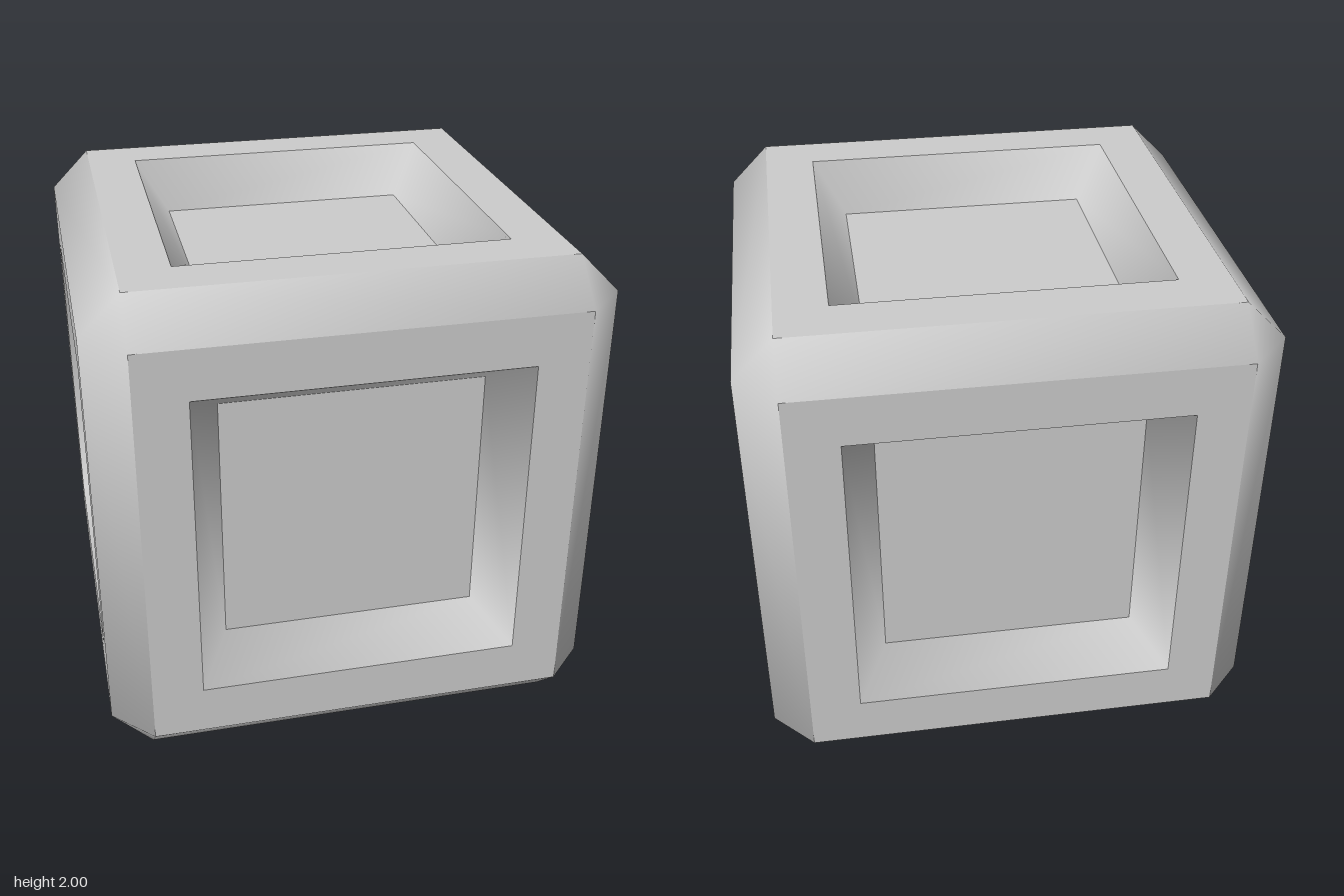
import * as THREE from 'three';

const HALF = 1;       // half size of the cube
const FLAT = 0.84;    // half size of each flat face
const OPEN = 0.64;    // half size of the recess opening
const FLOOR = 0.515;  // half size of the recess floor
const DEPTH = 0.2;    // recess depth

const material = new THREE.MeshStandardMaterial({ color: 0xcccccc });

function mesh(name, geometry) {
  const m = new THREE.Mesh(geometry, material);
  m.name = name;
  return m;
}

function build(positions, normals, index) {
  const g = new THREE.BufferGeometry();
  g.setAttribute('position', new THREE.Float32BufferAttribute(positions, 3));
  g.setAttribute('normal', new THREE.Float32BufferAttribute(normals, 3));
  if (index) g.setIndex(index);
  return g;
}

// Four corners of a square, counter-clockwise seen from +z
const CORNERS = [[-1, -1], [1, -1], [1, 1], [-1, 1]];
const square = (s) => CORNERS.map(([x, y]) => new THREE.Vector2(x * s, y * s));

// Flat border around the recess
function frameGeometry() {
  const shape = new THREE.Shape(square(FLAT));
  shape.holes.push(new THREE.Path(square(OPEN).reverse()));
  return new THREE.ShapeGeometry(shape).translate(0, 0, HALF);
}

// Sloping recess walls, smooth around the inner corners
function wallGeometry() {
  const positions = [], normals = [], index = [];
  for (const [s, z] of [[OPEN, HALF], [FLOOR, HALF - DEPTH]]) {
    for (const [x, y] of CORNERS) {
      positions.push(x * s, y * s, z);
      const n = new THREE.Vector3(-x * DEPTH, -y * DEPTH, 2 * (OPEN - FLOOR)).normalize();
      normals.push(n.x, n.y, n.z);
    }
  }
  for (let i = 0; i < 4; i++) {
    const j = (i + 1) % 4;
    index.push(i, j, j + 4, i, j + 4, i + 4);
  }
  return build(positions, normals, index);
}

// Bevelled edges and corner triangles, shaded as one smooth skin
function bevelGeometry() {
  const positions = [], normals = [];
  // The point of a corner that lies on the face across the given axis
  const point = (signs, axis) => new THREE.Vector3(
    ...signs.map((s, i) => s * (i === axis ? HALF : FLAT)));
  const vertexNormal = (p) => new THREE.Vector3(
    ...p.toArray().map((v) => Math.sign(v) * (Math.abs(v) > 0.9 ? 2 : 1))).normalize();

  function triangle(a, b, c) {
    const facing = b.clone().sub(a).cross(c.clone().sub(a));
    const outward = a.clone().add(b).add(c);
    const order = facing.dot(outward) > 0 ? [a, b, c] : [a, c, b];
    for (const p of order) {
      positions.push(...p.toArray());
      normals.push(...vertexNormal(p).toArray());
    }
  }

  for (let along = 0; along < 3; along++) {
    const u = (along + 1) % 3, v = (along + 2) % 3;
    for (const [su, sv] of CORNERS) {
      const low = [], high = [];
      low[along] = -1; high[along] = 1;
      low[u] = high[u] = su;
      low[v] = high[v] = sv;
      const a = point(low, u), b = point(high, u), c = point(high, v), d = point(low, v);
      triangle(a, b, c);
      triangle(a, c, d);
    }
  }
  for (const z of [-1, 1]) {
    for (const [x, y] of CORNERS) {
      triangle(...[0, 1, 2].map((axis) => point([x, y, z], axis)));
    }
  }
  return build(positions, normals);
}

export function createModel() {
  const group = new THREE.Group();
  group.name = 'panelledCube';

  const frame = frameGeometry();
  const walls = wallGeometry();
  const floor = new THREE.PlaneGeometry(FLOOR * 2, FLOOR * 2).translate(0, 0, HALF - DEPTH);

  // One recessed panel on each of the six sides
  const q = Math.PI / 2;
  const sides = {
    front: [0, 0], left: [0, q], back: [0, 2 * q], right: [0, -q], top: [-q, 0], bottom: [q, 0],
  };
  for (const [name, [rx, ry]] of Object.entries(sides)) {
    const panel = new THREE.Group();
    panel.name = name + 'Panel';
    panel.add(mesh('panelFrame', frame), mesh('recessWalls', walls), mesh('recessFloor', floor));
    panel.rotation.set(rx, ry, 0);
    panel.position.y = HALF;
    group.add(panel);
  }

  const bevels = mesh('bevelledEdges', bevelGeometry());
  bevels.position.y = HALF;
  group.add(bevels);
  return group;
}
